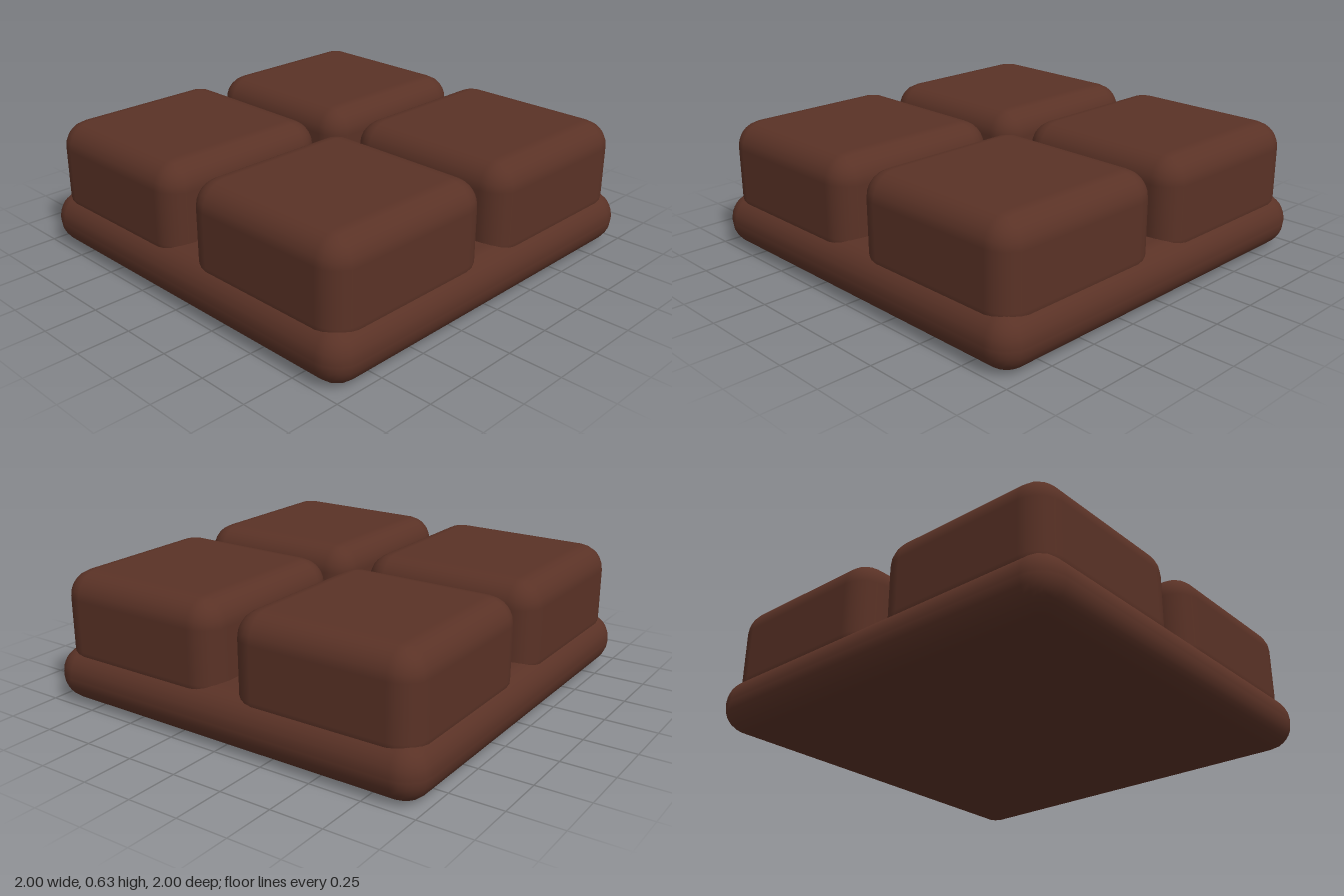
import * as THREE from 'three';
import { RoundedBoxGeometry } from 'three/addons/geometries/RoundedBoxGeometry.js';

export function createModel() {
  const model = new THREE.Group();
  model.name = 'chocolatePiece';
  const chocolate = new THREE.MeshStandardMaterial({ color: 0x5a3226 });
  chocolate.name = 'dark chocolate';

  // A softly rounded slab, placed by its bottom centre
  function slab(name, width, height, x, bottom, z) {
    const geometry = new RoundedBoxGeometry(width, height, width, 3, 0.125);
    const mesh = new THREE.Mesh(geometry, chocolate);
    mesh.name = name;
    mesh.position.set(x, bottom + height / 2, z);
    model.add(mesh);
  }

  // Base plate
  slab('base', 2, 0.26, 0, 0, 0);

  // Four raised squares, sunk into the base
  for (const [side, x] of [['Left', 0.5], ['Right', -0.5]]) {
    for (const [end, z] of [['front', 0.5], ['back', -0.5]]) {
      slab(`${end}${side}Square`, 0.91, 0.5, x, 0.13, z);
    }
  }
  return model;
}
